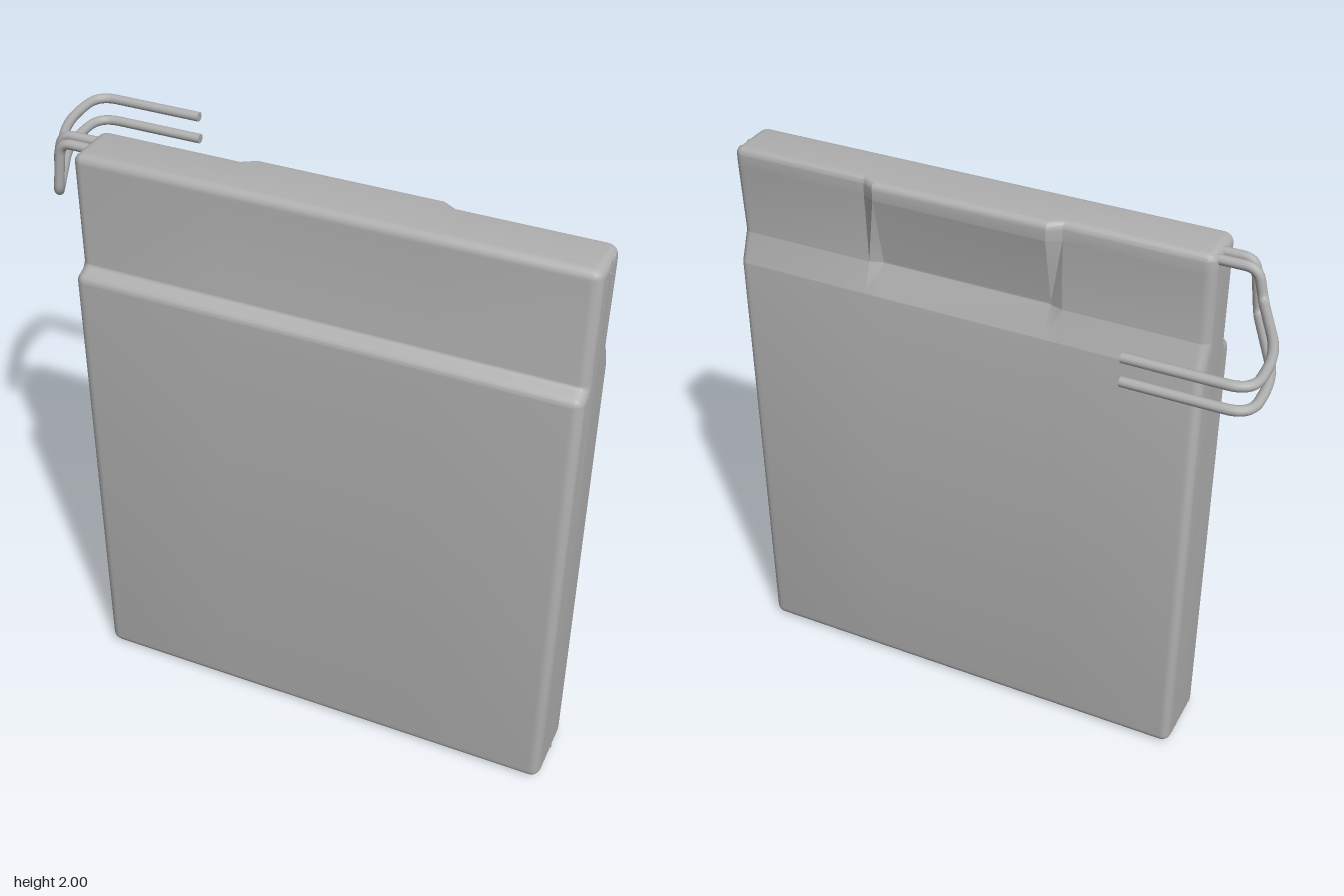
import * as THREE from 'three';
import { toCreasedNormals } from 'three/addons/utils/BufferGeometryUtils.js';

const metal = new THREE.MeshStandardMaterial({ color: 0xb0b0b0 });
metal.name = 'grey metal';

const LEFT = -0.69, RIGHT = 0.965, R = 0.035, SEG = 6;

// Side profile as [z, y, corner radius]; c blends from the flat sides (0) to the thumb recess (1)
function corners(c) {
  const lip = THREE.MathUtils.lerp(0.094, 0.067, c);
  const dip = THREE.MathUtils.lerp(0.108, 0.124, c);
  return [
    [0.33, 0, 0.035], [0.33, 1.595, 0.03], [0.28, 1.615, 0.015], [0.28, 2, 0.03],
    [lip, 2, 0.025], [lip, 1.94, 0.01], [dip, 1.69, 0.01], [0.067, 1.59, 0.02], [0.067, 0, 0.035],
  ];
}

// Insets the profile by d and rounds its corners
function section(c, d) {
  const list = corners(c), n = list.length, out = [];
  const pts = list.map(([z, y]) => new THREE.Vector2(z, y));
  for (let i = 0; i < n; i++) {
    const u = pts[i].clone().sub(pts[(i + n - 1) % n]).normalize();
    const v = pts[(i + 1) % n].clone().sub(pts[i]).normalize();
    const nu = new THREE.Vector2(-u.y, u.x), nv = new THREE.Vector2(-v.y, v.x);
    const p = pts[i].clone().addScaledVector(nu.clone().add(nv), d / (1 + nu.dot(nv)));
    const turn = Math.atan2(u.cross(v), u.dot(v)), sign = Math.sign(turn);
    const r = Math.max(list[i][2] - sign * d, 0.002);
    const start = p.clone().addScaledVector(u, -r * Math.tan(Math.abs(turn) / 2));
    const centre = start.clone().addScaledVector(nu, r * sign);
    for (let k = 0; k <= SEG; k++) {
      out.push(start.clone().rotateAround(centre, turn * k / SEG));
    }
  }
  return out;
}

// Case: sections lofted along x with rounded ends
function caseGeometry() {
  const stations = [];
  for (let k = SEG; k >= 0; k--) {
    const t = k / SEG * Math.PI / 2;
    stations.push([LEFT + R * (1 - Math.sin(t)), 0, R * (1 - Math.cos(t))]);
  }
  stations.push([-0.205, 0, 0], [-0.16, 1, 0], [0.435, 1, 0], [0.48, 0, 0]);
  for (let k = 0; k <= SEG; k++) {
    const t = k / SEG * Math.PI / 2;
    stations.push([RIGHT - R * (1 - Math.sin(t)), 0, R * (1 - Math.cos(t))]);
  }
  const rings = stations.map(([, c, d]) => section(c, d));
  const n = rings[0].length, pos = [], index = [];
  rings.forEach((ring, j) => ring.forEach((p) => pos.push(stations[j][0], p.y, p.x)));
  for (let j = 0; j < rings.length - 1; j++) {
    for (let i = 0; i < n; i++) {
      const a = j * n + i, d = j * n + (i + 1) % n;
      index.push(a, a + n, d + n, a, d + n, d);
    }
  }
  const last = (rings.length - 1) * n;
  for (const [a, b, c] of THREE.ShapeUtils.triangulateShape(rings[0], [])) {
    index.push(a, b, c, last + a, last + c, last + b);
  }
  const g = new THREE.BufferGeometry();
  g.setAttribute('position', new THREE.Float32BufferAttribute(pos, 3));
  g.setIndex(index);
  return toCreasedNormals(g, 0.3);
}

// Straight runs joined by smooth bends; each point is [x, y, z, bend size]
function bentPath(list) {
  const p = list.map(([x, y, z]) => new THREE.Vector3(x, y, z));
  const path = new THREE.CurvePath();
  let from = p[0];
  for (let i = 1; i < p.length - 1; i++) {
    const toward = (q) => p[i].clone().addScaledVector(q.clone().sub(p[i]).normalize(), list[i][3]);
    const a = toward(p[i - 1]), b = toward(p[i + 1]);
    path.add(new THREE.LineCurve3(from, a));
    path.add(new THREE.QuadraticBezierCurve3(a, p[i], b));
    from = b;
  }
  path.add(new THREE.LineCurve3(from, p[p.length - 1]));
  return path;
}

export function createModel() {
  const model = new THREE.Group();
  model.name = 'flatCase';
  const add = (name, geometry, x = 0, y = 0, z = 0) => {
    const mesh = new THREE.Mesh(geometry, metal);
    mesh.name = name;
    mesh.position.set(x, y, z);
    model.add(mesh);
    return mesh;
  };

  add('caseBody', caseGeometry());

  // Thin seam strip down the left edge
  add('seamStrip', new THREE.BoxGeometry(0.01, 1.92, 0.008), RIGHT, 1.0, 0.199);

  // Pair of bent wires leaving the top hinge, sweeping round behind the case
  const wireR = 0.016;
  for (const [name, x, y, z] of [['upperWire', -0.832, 1.87, 0.135], ['lowerWire', -0.808, 1.79, 0.185]]) {
    const path = bentPath([
      [-0.6, 1.975, z], [x + 0.025, 1.975, z, 0.04], [x, y, z, 0.035],
      [-0.954, y, -0.12, 0.1], [-0.954, y, -0.322, 0.075], [-0.57, y, -0.322],
    ]);
    add(name, new THREE.TubeGeometry(path, 120, wireR, 12));
    const cap = add(name + 'End', new THREE.CircleGeometry(wireR, 12), -0.57, y, -0.322);
    cap.rotation.y = Math.PI / 2;
    // Hinge end showing at the far top corner
    const pin = add(name + 'HingePin', new THREE.CylinderGeometry(wireR, wireR, 0.06, 12), 0.933, 1.972, z);
    pin.rotation.z = Math.PI / 2;
  }
  return model;
}
